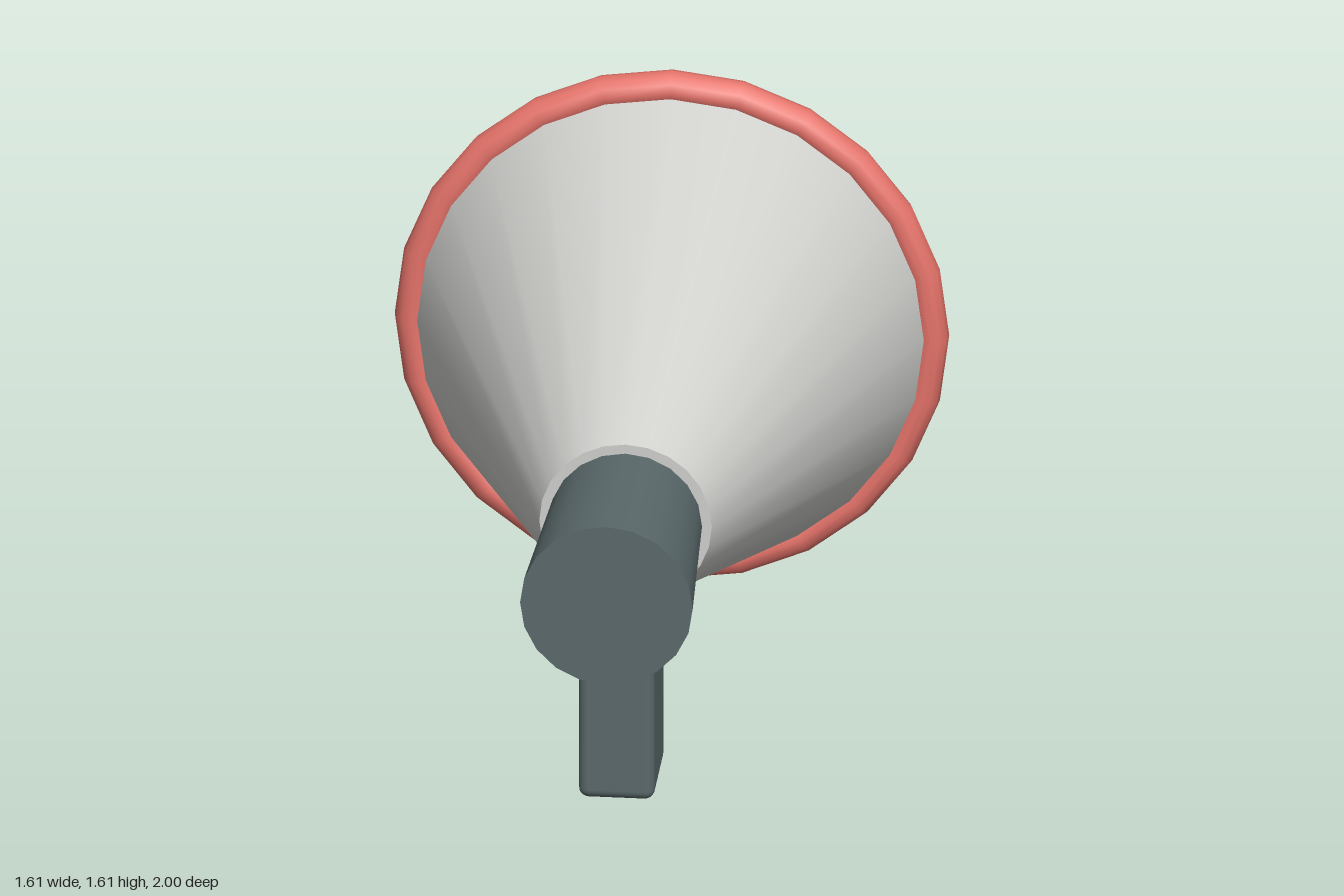
import * as THREE from 'three';
import { RoundedBoxGeometry } from 'three/addons/geometries/RoundedBoxGeometry.js';

const AXIS_Y = 0.805; // height of the horn's centre line

function material(name, color) {
  const m = new THREE.MeshStandardMaterial({ color });
  m.name = name;
  return m;
}

export function createModel() {
  const group = new THREE.Group();
  group.name = 'megaphone';
  const lightGrey = material('light grey', 0xd0d0cd);
  const slate = material('slate grey', 0x5a696b);
  const red = material('coral red', 0xe5736a);

  function add(name, geometry, mat, y, z) {
    const mesh = new THREE.Mesh(geometry, mat);
    mesh.name = name;
    mesh.position.set(0, y, z);
    group.add(mesh);
  }

  // Closed, tapered tube lying along z between two depths
  function taper(name, mat, rFront, rBack, zFront, zBack, sides) {
    const geometry = new THREE.CylinderGeometry(rFront, rBack, zFront - zBack, sides);
    geometry.rotateX(Math.PI / 2);
    add(name, geometry, mat, AXIS_Y, (zFront + zBack) / 2);
  }

  // Horn flaring toward the back, closed at both ends
  taper('horn', lightGrey, 0.25, 0.75, 0.43, -0.95, 24);

  // Mouthpiece, slightly wider at its free end
  taper('mouthpiece', slate, 0.25, 0.22, 1, 0.4, 20);

  // Rolled rim around the wide opening
  add('rim', new THREE.TorusGeometry(0.753, 0.05, 12, 24), red, AXIS_Y, -0.95);

  // Grip, reaching up into the mouthpiece
  add('handle', new RoundedBoxGeometry(0.22, 0.6, 0.31, 3, 0.03), slate, 0.355, 0.56);

  return group;
}
